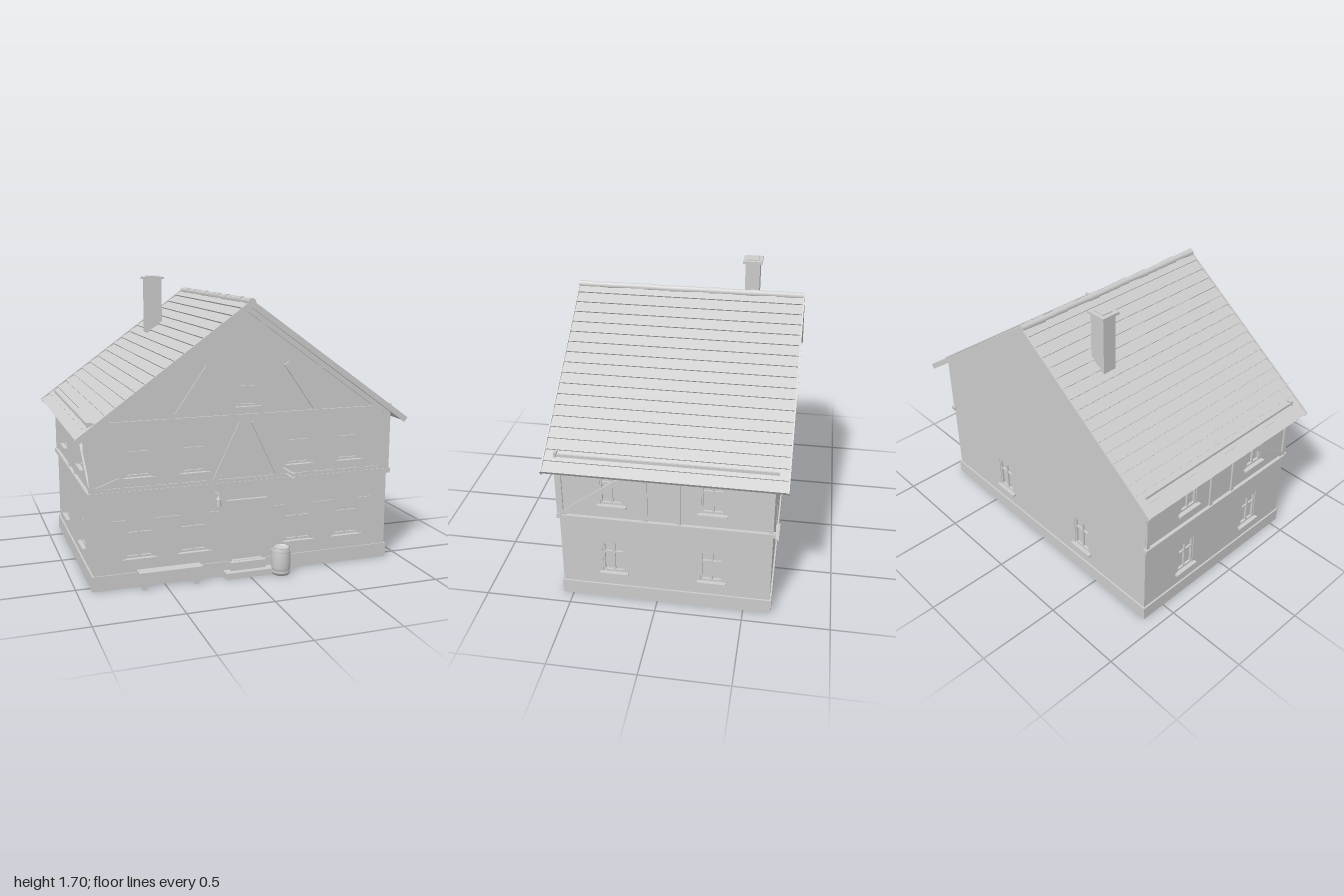
import * as THREE from 'three';

const WALL_X = 0.905, FRONT = 0.555, BACK = -0.65, MID_Z = (FRONT + BACK) / 2;
const SLOPE = 0.72, RIDGE = 1.6;

export function createModel() {
  const model = new THREE.Group();
  model.name = 'timberFramedHouse';
  const grey = new THREE.MeshStandardMaterial({ color: 0xcccccc });
  grey.name = 'plainGrey';

  const add = (parent, name, geo) => {
    const mesh = new THREE.Mesh(geo, grey);
    mesh.name = name;
    parent.add(mesh);
    return mesh;
  };
  // Box given by its limits on each axis
  const block = (parent, name, x0, x1, y0, y1, z0, z1) => {
    const m = add(parent, name, new THREE.BoxGeometry(x1 - x0, y1 - y0, z1 - z0));
    m.position.set((x0 + x1) / 2, (y0 + y1) / 2, (z0 + z1) / 2);
    return m;
  };
  // Straight timber laid on a facade, from (x0,y0) to (x1,y1)
  const timber = (parent, name, x0, y0, x1, y1, width = 0.026, out = 0.01) => {
    const m = add(parent, name, new THREE.BoxGeometry(Math.hypot(x1 - x0, y1 - y0), width, out + 0.01));
    m.position.set((x0 + x1) / 2, (y0 + y1) / 2, (out - 0.01) / 2);
    m.rotation.z = Math.atan2(y1 - y0, x1 - x0);
    return m;
  };
  const poly = (pts) => new THREE.Shape(pts.map(([x, y]) => new THREE.Vector2(x, y)));

  // A facade is a group whose z = 0 plane is the outer wall face
  const facade = (name, x, z, turn, outline, openings) => {
    const g = new THREE.Group();
    g.name = name;
    g.position.set(x, 0, z);
    g.rotation.y = turn;
    model.add(g);
    const shape = poly(outline);
    for (const [cx, y0, w, h] of openings) {
      const a = cx - w / 2, b = cx + w / 2;
      shape.holes.push(new THREE.Path([[a, y0], [a, y0 + h], [b, y0 + h], [b, y0]]
        .map(([px, py]) => new THREE.Vector2(px, py))));
    }
    const wall = new THREE.ExtrudeGeometry(shape, { depth: 0.02, bevelEnabled: false });
    wall.translate(0, 0, -0.02);
    add(g, name + 'Wall', wall);
    return g;
  };

  // Recessed casement with frame, glazing bars and sill
  const addWindow = (parent, cx, y0, w, h) => {
    const g = new THREE.Group();
    g.name = 'window';
    g.position.set(cx, y0, 0);
    parent.add(g);
    const r = w / 2, t = 0.012;
    block(g, 'pane', -r, r, 0, h, -0.04, -0.018);
    for (const s of [-1, 1]) {
      const edge = s * (r - t / 2);
      block(g, 'frameSide', edge - t / 2, edge + t / 2, 0, h, -0.02, -0.004);
    }
    for (const y of [0, h - t]) block(g, 'frameRail', -r, r, y, y + t, -0.02, -0.004);
    block(g, 'mullion', -0.006, 0.006, 0, h, -0.02, -0.006);
    block(g, 'transom', -r, r, h * 0.62, h * 0.62 + 0.01, -0.02, -0.007);
    block(g, 'windowSill', -r - 0.018, r + 0.018, -0.014, 0, -0.01, 0.022);
  };

  // Plinth: hollow ring
  const px = 0.915, pz0 = -0.66, pz1 = 0.562;
  const ring = poly([[-px, -pz1], [px, -pz1], [px, -pz0], [-px, -pz0]]);
  const ix = px - 0.045;
  ring.holes.push(new THREE.Path([[-ix, -pz1 + 0.045], [-ix, -pz0 - 0.045], [ix, -pz0 - 0.045], [ix, -pz1 + 0.045]]
    .map(([x, y]) => new THREE.Vector2(x, y))));
  const ringGeo = new THREE.ExtrudeGeometry(ring, { depth: 0.087, bevelEnabled: false });
  ringGeo.rotateX(-Math.PI / 2);
  add(model, 'plinth', ringGeo);

  const gableY = (x) => RIDGE - 0.031 - SLOPE * Math.abs(x);
  const gable = [[-WALL_X, 0.05], [WALL_X, 0.05], [WALL_X, gableY(WALL_X)], [0, gableY(0)], [-WALL_X, gableY(WALL_X)]];

  // Front facade
  const lower = [-0.64, -0.323, 0.323, 0.64].map((x) => [x, 0.172, 0.165, 0.225]);
  const upper = [-0.64, -0.32, 0.32, 0.64].map((x) => [x, 0.64, 0.145, 0.215]);
  const attic = [0, 1.0, 0.115, 0.17];
  const frontWindows = [...lower, ...upper, attic];
  const front = facade('front', 0, FRONT, 0, gable, [...frontWindows, [0, 0.06, 0.2, 0.37]]);
  frontWindows.forEach((o) => addWindow(front, ...o));
  for (const [cx, y0, w, h] of lower)
    for (const s of [-1, 1]) {
      const c = cx + s * (w / 2 + 0.038);
      block(front, 'shutter', c - 0.037, c + 0.037, y0 - 0.004, y0 + h, -0.005, 0.007);
    }

  // Front timber frame
  block(front, 'storeyBeam', -0.925, 0.925, 0.535, 0.565, -0.01, 0.012);
  block(front, 'gableBeam', -WALL_X, WALL_X, 0.912, 0.956, -0.01, 0.011);
  timber(front, 'footRail', -0.9, 0.575, 0.9, 0.575, 0.02, 0.008);
  for (const s of [-1, 1]) {
    timber(front, 'cornerPost', s * 0.9, 0.56, s * 0.9, 0.92, 0.03, 0.011);
    for (const x of [0.735, 0.56, 0.407, 0.233])
      timber(front, 'post', s * x, 0.565, s * x, 0.915);
    timber(front, 'sillRail', s * 0.56, 0.63, s * 0.735, 0.63, 0.018);
    timber(front, 'sillRail', s * 0.233, 0.63, s * 0.407, 0.63, 0.018);
    timber(front, 'cornerBrace', s * 0.89, 0.58, s * 0.74, 0.635, 0.022, 0.009);
    timber(front, 'middleBrace', s * 0.2, 0.57, s * 0.035, 0.912, 0.03, 0.009);
    timber(front, 'gablePost', s * 0.448, 0.95, s * 0.448, 1.235);
    timber(front, 'gablePost', s * 0.088, 0.95, s * 0.088, 1.495);
    timber(front, 'gableBrace', s * 0.42, 0.97, s * 0.235, 1.235, 0.03);
    timber(front, 'gableRafter', s * 0.88, gableY(0.88) - 0.018, 0, gableY(0) - 0.018, 0.03);
  }

  // Door with boards, frame, lintel and step
  block(front, 'doorPanel', -0.1, 0.1, 0.05, 0.43, -0.04, -0.018);
  for (let i = 0; i < 5; i++) {
    const x = -0.064 + i * 0.032;
    block(front, 'doorBoard', x - 0.012, x + 0.012, 0.09, 0.415, -0.02, -0.01);
  }
  for (const s of [-1, 1]) timber(front, 'doorJamb', s * 0.104, 0.085, s * 0.104, 0.435, 0.018);
  timber(front, 'doorHead', -0.113, 0.43, 0.113, 0.43, 0.016);
  block(front, 'doorLintel', -0.123, 0.123, 0.441, 0.457, -0.005, 0.02);
  block(model, 'doorStep', -0.148, 0.145, 0, 0.036, 0.54, 0.625);
  block(model, 'upperStep', -0.11, 0.11, 0.036, 0.085, 0.54, 0.59);

  // Side facades, mirrored
  for (const s of [-1, 1]) {
    const u = (z) => -s * (z - MID_Z);
    const half = (FRONT - BACK) / 2 - 0.002;
    const holes = [0.25, -0.315].flatMap((z) => [[u(z), 0.178, 0.13, 0.21], [u(z), 0.645, 0.13, 0.215]]);
    const side = facade(s > 0 ? 'leftSide' : 'rightSide', s * WALL_X, MID_Z, s * Math.PI / 2,
      [[-half, 0.05], [half, 0.05], [half, 0.91], [-half, 0.91]], holes);
    holes.forEach((o) => addWindow(side, ...o));
    block(side, 'storeyBeam', -half - 0.014, half + 0.014, 0.535, 0.558, -0.01, 0.02);
    block(side, 'wallPlate', -half, half, 0.875, 0.912, -0.01, 0.011);
    for (const z of [0.542, 0.06, -0.127, -0.637])
      timber(side, 'sidePost', u(z), 0.55, u(z), 0.9, 0.024, 0.011);
    timber(side, 'sideBrace', u(0.53), 0.565, u(0.1), 0.885, 0.03);
  }

  // Back facade
  const backHoles = [-0.37, 0.37].map((x) => [x, 0.178, 0.13, 0.21]);
  const back = facade('back', 0, BACK, Math.PI, gable, backHoles);
  backHoles.forEach((o) => addWindow(back, ...o));

  // Roof slopes with stepped courses
  const k = Math.hypot(1, SLOPE), length = k * 0.995, courses = 18;
  for (const s of [-1, 1]) {
    const at = (d, n) => [s * (d + n * SLOPE) / k, RIDGE + (n - d * SLOPE) / k];
    const pts = [[0, RIDGE - 0.031]];
    pts.push([0, RIDGE - 0.008]);
    for (let i = 0; i < courses; i++) {
      const d1 = length * (i + 1) / courses;
      pts.push(at(d1, 0));
      if (i < courses - 1) pts.push(at(d1, -0.009));
    }
    pts.push(at(length, -0.025));
    const geo = new THREE.ExtrudeGeometry(poly(pts), { depth: 1.332, bevelEnabled: false });
    geo.translate(0, 0, -0.716);
    add(model, 'roofSlope', geo);
    // Verge boards at both gables
    const verge = poly([[0, RIDGE - 0.04], [0, RIDGE + 0.003], at(length + 0.004, 0.003), at(length + 0.004, -0.03)]);
    for (const z of [-0.722, 0.612]) {
      const v = new THREE.ExtrudeGeometry(verge, { depth: 0.008, bevelEnabled: false });
      v.translate(0, 0, z);
      add(model, 'vergeBoard', v);
    }
    // Snow rail
    block(model, 'snowRail', s * 0.912 - 0.005, s * 0.912 + 0.005, 0.92, 0.952, -0.665, 0.555);
    block(model, 'snowRailHook', s * 0.905 - 0.017, s * 0.905 + 0.017, 0.925, 0.962, 0.545, 0.56);
  }

  // Ridge tiles, each slightly different in size
  const tiles = 17, step = 1.34 / tiles;
  for (let i = 0; i < tiles; i++) {
    const r = 0.022 + 0.002 * Math.sin(i * 2.4);
    const geo = new THREE.CylinderGeometry(r, r - 0.003, step, 8);
    geo.rotateX(Math.PI / 2);
    add(model, 'ridgeTile', geo).position.set(0.002 * Math.sin(i * 5.1), RIDGE - 0.01, -0.72 + step * (i + 0.5));
  }

  // Chimney
  block(model, 'chimney', -0.352, -0.252, 1.25, 1.685, -0.44, -0.352);
  block(model, 'chimneyCap', -0.365, -0.24, 1.682, 1.697, -0.453, -0.337);
  block(model, 'chimneyTop', -0.34, -0.265, 1.697, 1.703, -0.43, -0.362);

  // Bench
  block(model, 'benchSeat', -0.662, -0.292, 0.09, 0.104, 0.565, 0.632);
  for (const x of [-0.63, -0.325]) block(model, 'benchLeg', x - 0.012, x + 0.012, 0, 0.09, 0.572, 0.625);

  // Barrel with hoops
  const barrel = new THREE.Group();
  barrel.name = 'barrel';
  barrel.position.set(0.187, 0, 0.632);
  model.add(barrel);
  const profile = [[0, 0.005], [0.051, 0.005], [0.056, 0.05], [0.057, 0.085], [0.056, 0.12], [0.052, 0.167], [0.045, 0.167], [0.045, 0.155], [0, 0.155]];
  add(barrel, 'barrelBody', new THREE.LatheGeometry(profile.map(([x, y]) => new THREE.Vector2(x, y)), 20));
  for (const y of [0.025, 0.145])
    add(barrel, 'barrelHoop', new THREE.CylinderGeometry(0.057, 0.057, 0.01, 20)).position.y = y;

  // Hanging sign
  block(model, 'signBracket', 0.215, 0.227, 0.615, 0.625, 0.55, 0.727);
  block(model, 'signBoard', 0.215, 0.227, 0.486, 0.6, 0.6, 0.722);
  for (const z of [0.625, 0.697]) block(model, 'signHanger', 0.219, 0.223, 0.598, 0.617, z - 0.002, z + 0.002);

  // Lantern on a bracket
  block(model, 'lanternBracket', -0.194, -0.186, 0.505, 0.513, 0.55, 0.615);
  add(model, 'lantern', new THREE.CylinderGeometry(0.012, 0.016, 0.04, 6)).position.set(-0.19, 0.462, 0.608);
  add(model, 'lanternHood', new THREE.ConeGeometry(0.016, 0.028, 6)).position.set(-0.19, 0.496, 0.608);

  return model;
}
